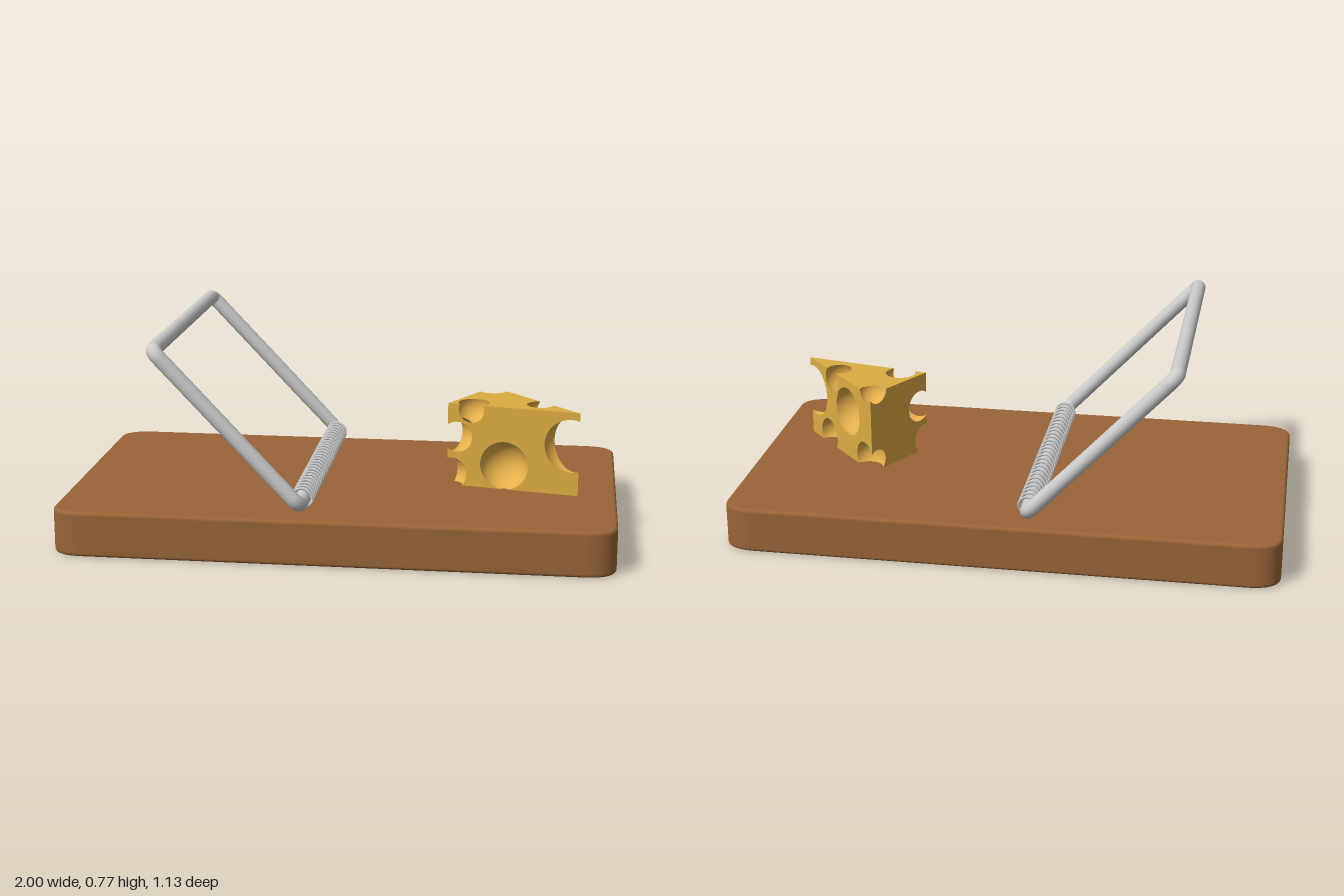
import * as THREE from 'three';

const V = (x, y, z) => new THREE.Vector3(x, y, z);
const material = (color) => new THREE.MeshStandardMaterial({ color });
const wood = material(0x9a6538);
const steel = material(0xcccccc);
const cheeseRind = material(0xdcac42);
const cheeseHole = material(0xe6b04a);

function addMesh(parent, name, geometry, mat) {
  const mesh = new THREE.Mesh(geometry, mat);
  mesh.name = name;
  parent.add(mesh);
  return mesh;
}

// Wooden board: rounded outline, softly bevelled
function boardGeometry() {
  const b = 0.012, w = 1 - b, d = 0.565 - b, rx = 0.11, rz = 0.075;
  const s = new THREE.Shape();
  s.moveTo(-w + rx, -d);
  s.lineTo(w - rx, -d);
  s.quadraticCurveTo(w, -d, w, -d + rz);
  s.lineTo(w, d - rz);
  s.quadraticCurveTo(w, d, w - rx, d);
  s.lineTo(-w + rx, d);
  s.quadraticCurveTo(-w, d, -w, d - rz);
  s.lineTo(-w, -d + rz);
  s.quadraticCurveTo(-w, -d, -w + rx, -d);
  const g = new THREE.ExtrudeGeometry(s, {
    depth: 0.165 - 2 * b, bevelThickness: b, bevelSize: b, bevelSegments: 4, curveSegments: 12,
  });
  return g.rotateX(-Math.PI / 2).translate(0, b, 0);
}

// Wire frame: closed rectangle of straight bars with tight rounded corners
function frameGeometry() {
  const corners = [V(-0.107, 0.208, 0.522), V(-0.107, 0.208, -0.522), V(-0.617, 0.748, -0.522), V(-0.617, 0.748, 0.522)];
  const path = new THREE.CurvePath();
  const toward = (a, b) => a.clone().add(b.clone().sub(a).setLength(0.035));
  corners.forEach((c, i) => {
    const next = corners[(i + 1) % 4], after = corners[(i + 2) % 4];
    path.add(new THREE.LineCurve3(toward(c, next), toward(next, c)));
    path.add(new THREE.QuadraticBezierCurve3(toward(next, c), next, toward(next, after)));
  });
  const g = new THREE.TubeGeometry(path, 480, 0.027, 16, true);
  // Flatten the lower end of the back arm
  const p = g.attributes.position;
  for (let i = 0; i < p.count; i++) {
    if (p.getZ(i) > -0.485) continue;
    const k = 1 - THREE.MathUtils.smoothstep(p.getY(i), 0.2, 0.4);
    p.setZ(i, -0.522 + (p.getZ(i) + 0.522) * (1 - 0.45 * k));
  }
  return g;
}

// Coil spring around the pivot bar
class Helix extends THREE.Curve {
  getPoint(t) {
    const a = t * 26.5 * Math.PI * 2;
    return V(-0.107 + 0.037 * Math.cos(a), 0.213 + 0.037 * Math.sin(a), 0.46 - 0.945 * t);
  }
}

// Keep the part of a triangle list where f >= 0
function clip(tris, f) {
  const out = [];
  for (const tri of tris) {
    const d = tri.map(f), poly = [];
    for (let i = 0; i < 3; i++) {
      const j = (i + 1) % 3;
      if (d[i] >= 0) poly.push(tri[i]);
      if ((d[i] >= 0) !== (d[j] >= 0)) poly.push(tri[i].clone().lerp(tri[j], d[i] / (d[i] - d[j])));
    }
    for (let i = 2; i < poly.length; i++) out.push([poly[0], poly[i - 1], poly[i]]);
  }
  return out;
}

function subdivide(tris, levels) {
  for (; levels > 0; levels--) {
    tris = tris.flatMap(([a, b, c]) => {
      const ab = a.clone().lerp(b, 0.5), bc = b.clone().lerp(c, 0.5), ca = c.clone().lerp(a, 0.5);
      return [[a, ab, ca], [ab, b, bc], [ca, bc, c], [ab, bc, ca]];
    });
  }
  return tris;
}

// Cheese wedge: triangular prism with spherical bites
function buildCheese() {
  const group = new THREE.Group();
  group.name = 'cheese';
  const y0 = 0.176, y1 = 0.485;
  const plan = [[0.53, -0.187], [0.38, 0.083], [0.86, 0.178]];
  const holes = [
    [0.59, 0.265, 0.125, 0.09], [0.473, 0.465, 0.065, 0.06], [0.42, 0.36, 0.06, 0.065],
    [0.395, 0.22, 0.08, 0.06], [0.835, 0.36, 0.155, 0.1], [0.655, 0.36, -0.05, 0.093],
    [0.715, 0.45, 0.065, 0.06], [0.758, 0.21, 0.075, 0.066], [0.558, 0.213, -0.138, 0.066],
    [0.532, 0.487, -0.14, 0.053],
  ].map(([x, y, z, r]) => ({ c: V(x, y, z), r }));
  const outside = (h) => (p) => p.distanceTo(h.c) - h.r;

  // Flat faces, and a matching inside test for each
  const low = plan.map(([x, z]) => V(x, y0, z)), high = plan.map(([x, z]) => V(x, y1, z));
  let faces = [[...high], [low[0], low[2], low[1]]];
  const inside = [(p) => y1 - p.y, (p) => p.y - y0];
  for (let i = 0; i < 3; i++) {
    const j = (i + 1) % 3, a = low[i], b = low[j];
    faces.push([a, b, high[j]], [a, high[j], high[i]]);
    inside.push((p) => (b.z - a.z) * (p.x - a.x) - (b.x - a.x) * (p.z - a.z));
  }
  faces = subdivide(faces, 5);
  for (const h of holes) faces = clip(faces, outside(h));
  const rind = new THREE.BufferGeometry().setFromPoints(faces.flat());
  rind.computeVertexNormals();
  addMesh(group, 'cheeseWedge', rind, cheeseRind);

  // Hollow sphere walls, turned inward and trimmed to the wedge
  holes.forEach((h, n) => {
    const ball = new THREE.SphereGeometry(h.r, 40, 28).translate(h.c.x, h.c.y, h.c.z).toNonIndexed();
    const pos = ball.attributes.position;
    const point = (i) => new THREE.Vector3().fromBufferAttribute(pos, i);
    let tris = [];
    for (let i = 0; i < pos.count; i += 3) tris.push([point(i), point(i + 2), point(i + 1)]);
    for (const f of inside) tris = clip(tris, f);
    for (const other of holes) if (other !== h) tris = clip(tris, outside(other));
    const pts = tris.flat();
    if (!pts.length) return;
    const g = new THREE.BufferGeometry().setFromPoints(pts);
    const normals = pts.flatMap((p) => h.c.clone().sub(p).normalize().toArray());
    g.setAttribute('normal', new THREE.Float32BufferAttribute(normals, 3));
    addMesh(group, 'cheeseHole' + (n + 1), g, cheeseHole);
  });
  return group;
}

export function createModel() {
  const model = new THREE.Group();
  model.name = 'mousetrap';
  addMesh(model, 'board', boardGeometry(), wood);
  addMesh(model, 'wireFrame', frameGeometry(), steel);
  addMesh(model, 'spring', new THREE.TubeGeometry(new Helix(), 560, 0.005, 6, false), steel);
  model.add(buildCheese());
  return model;
}
